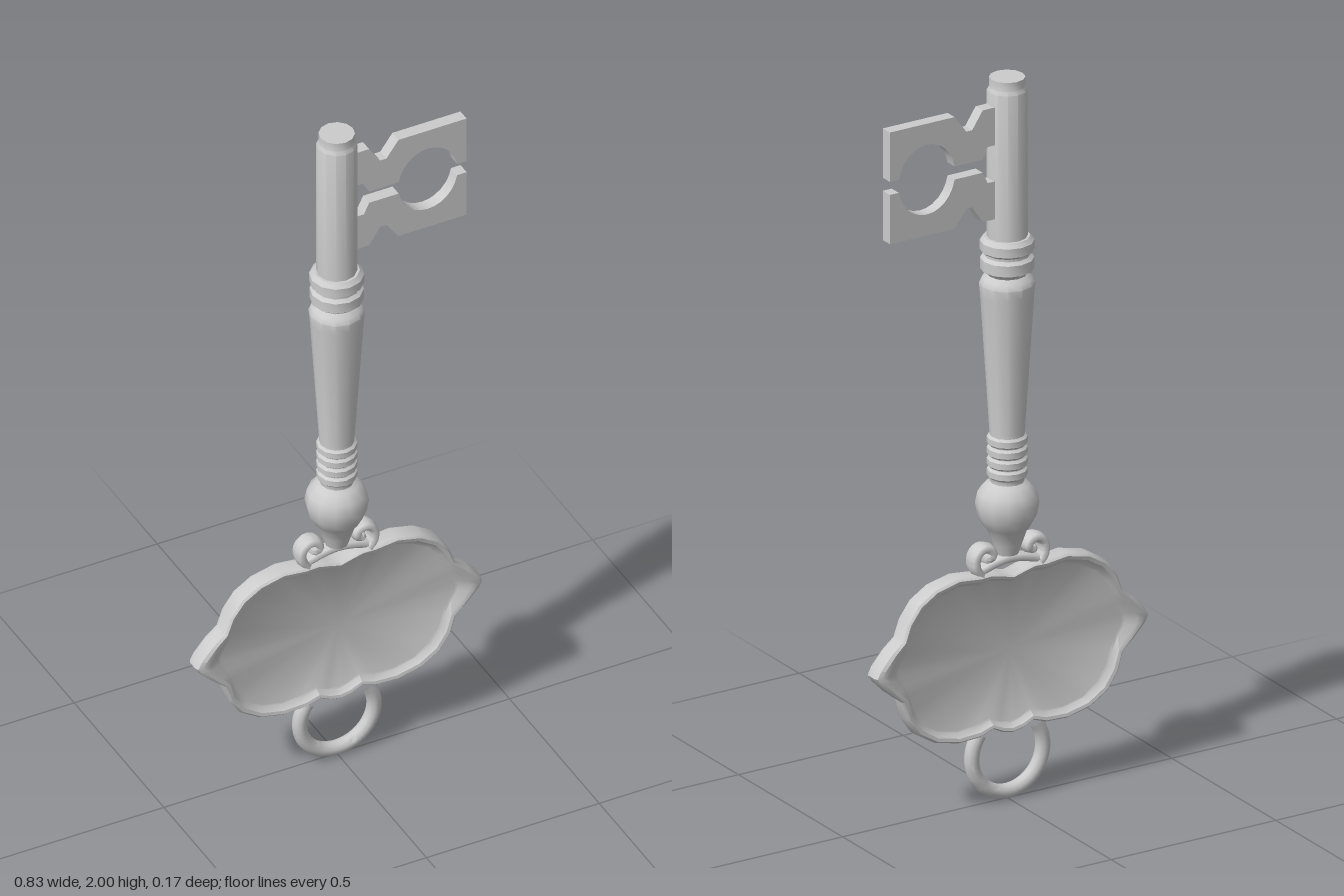
import * as THREE from 'three';
import { toCreasedNormals } from 'three/addons/utils/BufferGeometryUtils.js';

const material = new THREE.MeshStandardMaterial({ color: 0xcccccc });

function part(name, geometry, crease = 0.7) {
  const mesh = new THREE.Mesh(toCreasedNormals(geometry, crease), material);
  mesh.name = name;
  return mesh;
}

// Turned shaft: pointed foot, ball, rings, tapered grip, collar and barrel
function shaftGeometry() {
  const profile = [
    [0, 0.67], [0.03, 0.68], [0.04, 0.71], [0.052, 0.745], [0.062, 0.757],
    [0.077, 0.785], [0.083, 0.82], [0.077, 0.85], [0.058, 0.872], [0.045, 0.88], [0.045, 0.89]
  ];
  for (let i = 0; i < 4; i++) {
    const y = 0.892 + i * 0.03;
    profile.push([0.046, y], [0.053, y + 0.006], [0.053, y + 0.022], [0.046, y + 0.028]);
  }
  profile.push(
    [0.046, 1.02], [0.07, 1.4], [0.073, 1.43], [0.066, 1.445], [0.052, 1.455],
    [0.056, 1.462], [0.07, 1.47], [0.07, 1.5], [0.06, 1.508], [0.06, 1.515],
    [0.071, 1.523], [0.071, 1.548], [0.06, 1.56], [0.053, 1.56],
    [0.053, 1.965], [0.047, 1.975], [0.047, 2], [0, 2]
  );
  return new THREE.LatheGeometry(profile.map(([r, y]) => new THREE.Vector2(r, y)), 12);
}

// One half of the key bit, with a V notch and half of the round window
function bitShape() {
  const s = new THREE.Shape();
  s.moveTo(0.03, 0.155);
  for (const [x, y] of [[0.085, 0.155], [0.117, 0.107], [0.135, 0.107], [0.17, 0.155],
    [0.367, 0.155], [0.367, 0.018], [0.34, 0.018]]) s.lineTo(x, y);
  for (let i = 0; i <= 12; i++) {
    const a = 0.19 + (i / 12) * (Math.PI - 0.38);
    s.lineTo(0.255 + 0.086 * Math.cos(a), 0.097 * Math.sin(a));
  }
  for (const [x, y] of [[0.085, 0.018], [0.07, 0.05], [0.03, 0.05]]) s.lineTo(x, y);
  s.closePath();
  return s;
}

// Cartouche plate: loops blended from the outer outline to the recessed field
function plateGeometry() {
  // right half, top centre to bottom centre: outer x, y, field x, y
  const half = [
    [0, 0.628, 0, 0.602], [0.035, 0.638, 0.035, 0.611], [0.065, 0.645, 0.065, 0.618],
    [0.1, 0.645, 0.1, 0.612], [0.165, 0.652, 0.16, 0.62], [0.235, 0.636, 0.215, 0.605],
    [0.285, 0.605, 0.26, 0.577], [0.318, 0.56, 0.29, 0.54], [0.335, 0.512, 0.305, 0.5],
    [0.37, 0.485, 0.318, 0.468], [0.405, 0.445, 0.335, 0.44], [0.415, 0.425, 0.338, 0.425],
    [0.405, 0.408, 0.335, 0.41], [0.37, 0.372, 0.318, 0.383], [0.335, 0.344, 0.305, 0.352],
    [0.32, 0.29, 0.292, 0.308], [0.288, 0.243, 0.265, 0.268], [0.235, 0.21, 0.22, 0.238],
    [0.165, 0.194, 0.16, 0.224], [0.1, 0.197, 0.1, 0.227], [0.06, 0.211, 0.062, 0.238],
    [0.03, 0.196, 0.03, 0.224], [0, 0.19, 0, 0.218]
  ];
  const mirrored = half.slice(1, -1).reverse().map(([a, b, c, d]) => [-a, b, -c, d]);
  const outline = [...half, ...mirrored].reverse(); // counter-clockwise from the front
  const n = outline.length;
  // blend towards the field, and z, from the front field round the rim to the back field
  const front = [[1, 0.01], [0.85, 0.012], [0.5, 0.027], [0.22, 0.029], [0.06, 0.024], [0, 0.015]];
  const section = [...front, ...front.slice().reverse().map(([t, z]) => [t, -z])];
  const positions = [], index = [];
  for (const [t, z] of section) {
    for (const [ox, oy, ix, iy] of outline) {
      positions.push(ox + (ix - ox) * t, oy + (iy - oy) * t, z - 0.004);
    }
  }
  for (let k = 0; k < section.length - 1; k++) {
    for (let i = 0; i < n; i++) {
      const j = (i + 1) % n;
      const a = k * n + i, b = k * n + j, c = a + n, d = b + n;
      index.push(a, c, b, b, c, d);
    }
  }
  // flat field on both faces
  const centre = section.length * n, last = (section.length - 1) * n;
  positions.push(0, 0.42, 0.006, 0, 0.42, -0.014);
  for (let i = 0; i < n; i++) {
    const j = (i + 1) % n;
    index.push(centre, i, j, centre + 1, last + j, last + i);
  }
  const g = new THREE.BufferGeometry();
  g.setAttribute('position', new THREE.Float32BufferAttribute(positions, 3));
  g.setIndex(index);
  return g;
}

// Bent bar with rounded ends along a smooth path in the xy plane
function bar(name, points, radius, depth) {
  const group = new THREE.Group();
  group.name = name;
  const path = new THREE.CatmullRomCurve3(points.map(([x, y]) => new THREE.Vector3(x, y, 0)));
  group.add(part(name + 'Bar', new THREE.TubeGeometry(path, 24, radius, 8), 1));
  for (const [x, y] of [points[0], points[points.length - 1]]) {
    const end = part(name + 'End', new THREE.SphereGeometry(radius, 8, 6), 1);
    end.position.set(x, y, 0);
    group.add(end);
  }
  group.scale.z = depth;
  group.position.z = -0.004;
  return group;
}

export function createModel() {
  const key = new THREE.Group();
  key.name = 'key';
  key.add(part('shaft', shaftGeometry()));

  // Two facing halves of the bit
  for (const side of [1, -1]) {
    const g = new THREE.ExtrudeGeometry(bitShape(), { depth: 0.034, bevelEnabled: false });
    g.translate(0, 0, -0.017);
    if (side < 0) g.rotateX(Math.PI);
    const bit = part(side > 0 ? 'upperBit' : 'lowerBit', g, 0.5);
    bit.position.y = 1.775;
    key.add(bit);
  }

  key.add(part('plate', plateGeometry(), 0.6));

  // Scrolls joining the plate to the shaft
  for (const side of [1, -1]) {
    const scroll = [[0.09, 0.64], [0.104, 0.665], [0.102, 0.695], [0.082, 0.711],
      [0.058, 0.704], [0.055, 0.686], [0.068, 0.682]];
    key.add(bar(side > 0 ? 'leftScroll' : 'rightScroll',
      scroll.map(([x, y]) => [x * side, y]), 0.014, 2));
  }
  key.add(bar('saddle', [[-0.09, 0.648], [-0.045, 0.662], [0, 0.668], [0.045, 0.662], [0.09, 0.648]], 0.013, 1.6));

  // Hanging ring, its ends sunk into the plate rim
  const ring = part('ring', new THREE.TorusGeometry(0.108, 0.02, 10, 32, Math.PI * 1.42), 1);
  ring.rotation.z = Math.PI * 0.79;
  ring.position.y = 0.128;
  key.add(ring);
  return key;
}
